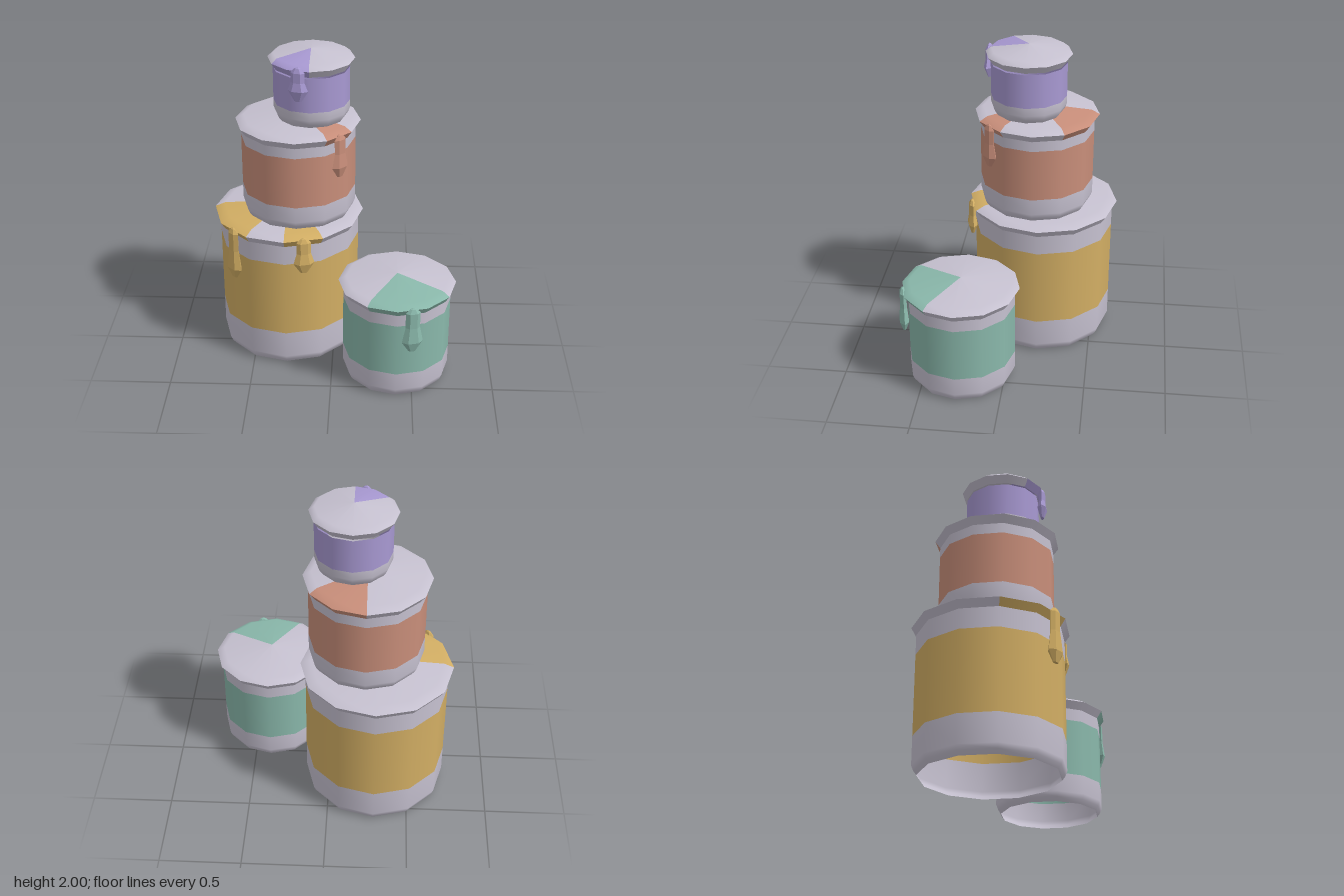
import * as THREE from 'three';

const SIDES = 12;
const GREY = 0xc6c1d0;
const rad = THREE.MathUtils.degToRad;

// Angles run from +x (0) towards +z (90), in degrees.
const CANS = [
  { name: 'largeCan', color: 0xd2ae64, x: -0.29, z: -0.17, base: 0, rim: 0.9, r: 0.44, R: 0.47,
    band: [0.23, 0.73], spills: [[60, 90], [120, 180]],
    drips: [{ angle: 75, top: 0.925, length: 0.24 }, { angle: 134, top: 0.925, length: 0.345 }] },
  { name: 'mediumCan', color: 0xc88e7a, x: -0.222, z: -0.13, base: 0.94, rim: 1.53, r: 0.352, R: 0.383,
    band: [1.095, 1.42], spills: [[30, 60], [270, 330]],
    drips: [{ angle: 45, top: 1.55, length: 0.275 }] },
  { name: 'smallCan', color: 0xa899d2, x: -0.135, z: -0.085, base: 1.575, rim: 1.945, r: 0.23, R: 0.26,
    band: [1.68, 1.89], spills: [[90, 150]],
    drips: [{ angle: 105, top: 1.97, length: 0.21 }] },
  { name: 'frontCan', color: 0x8ab8ab, x: 0.4, z: 0.27, base: 0, rim: 0.635, r: 0.33, R: 0.36,
    band: [0.17, 0.515], spills: [[30, 120]],
    drips: [{ angle: 75, top: 0.655, length: 0.3 }] },
];

function material(color, flatShading = false) {
  return new THREE.MeshStandardMaterial({ color, flatShading, side: THREE.DoubleSide });
}

// Revolved strip covering the angles from..to
function strip(name, profile, mat, from = 0, to = 360) {
  const points = profile.map(([r, y]) => new THREE.Vector2(r, y));
  const segments = Math.round((to - from) * SIDES / 360);
  const geometry = new THREE.LatheGeometry(points, segments, rad(90 - to), rad(to - from));
  const mesh = new THREE.Mesh(geometry, mat);
  mesh.name = name;
  return mesh;
}

// Flattened, faceted paint drip hanging from the rim
function drip(can, { angle, top, length }, mat) {
  const w = can.name === 'smallCan' || can.name === 'mediumCan' ? 0.062 : 0.065;
  const points = [
    [0, -length], [w * 0.35, -length], [w, -length + 0.065], [w * 0.68, -length * 0.45],
    [w * 0.7, -0.035], [w * 0.3, -0.008], [0, 0],
  ].map(([r, y]) => new THREE.Vector2(r, y));
  const geometry = new THREE.LatheGeometry(points, 6, Math.PI / 6);
  geometry.scale(1, 1, 0.5);
  const mesh = new THREE.Mesh(geometry, mat);
  mesh.name = 'paintDrip';
  const a = rad(angle);
  const d = can.R - 0.008;
  mesh.position.set(d * Math.cos(a), top, d * Math.sin(a));
  mesh.rotation.y = Math.PI / 2 - a;
  return mesh;
}

function buildCan(can) {
  const group = new THREE.Group();
  group.name = can.name;
  const { r, R, base, rim, band: [low, high] } = can;
  const metal = material(GREY);
  const paint = material(can.color);

  // Open-bottomed wall with a painted band
  const neck = rim - 0.045;
  group.add(
    strip('lowerWall', [[r - 0.03, base], [r - 0.012, base + 0.025], [r, base + 0.055], [r, low]], metal),
    strip('paintedBand', [[r, low], [r, high]], paint),
  );
  if (neck - high > 0.02) group.add(strip('upperWall', [[r, high], [r, neck]], metal));

  // Flared rim and shallow domed lid, split where paint has spilled
  const pieces = [];
  let at = can.spills[0][0];
  can.spills.forEach(([from, to], i) => {
    if (from > at) pieces.push([at, from, metal]);
    pieces.push([from, to, paint]);
    at = to;
    if (i === can.spills.length - 1) pieces.push([to, can.spills[0][0] + 360, metal]);
  });
  for (const [from, to, mat] of pieces) {
    const kind = mat === paint ? 'spilled' : 'bare';
    group.add(
      strip(kind + 'Rim', [[r, neck], [R, rim]], mat, from, to),
      strip(kind + 'Lid', [[R, rim], [R * 0.87, rim + 0.027], [0, rim + 0.055]], mat, from, to),
    );
  }

  const dripPaint = material(can.color, true);
  for (const d of can.drips) group.add(drip(can, d, dripPaint));
  group.position.set(can.x, 0, can.z);
  return group;
}

export function createModel() {
  const model = new THREE.Group();
  model.name = 'stackedPaintCans';
  for (const can of CANS) model.add(buildCan(can));
  return model;
}
